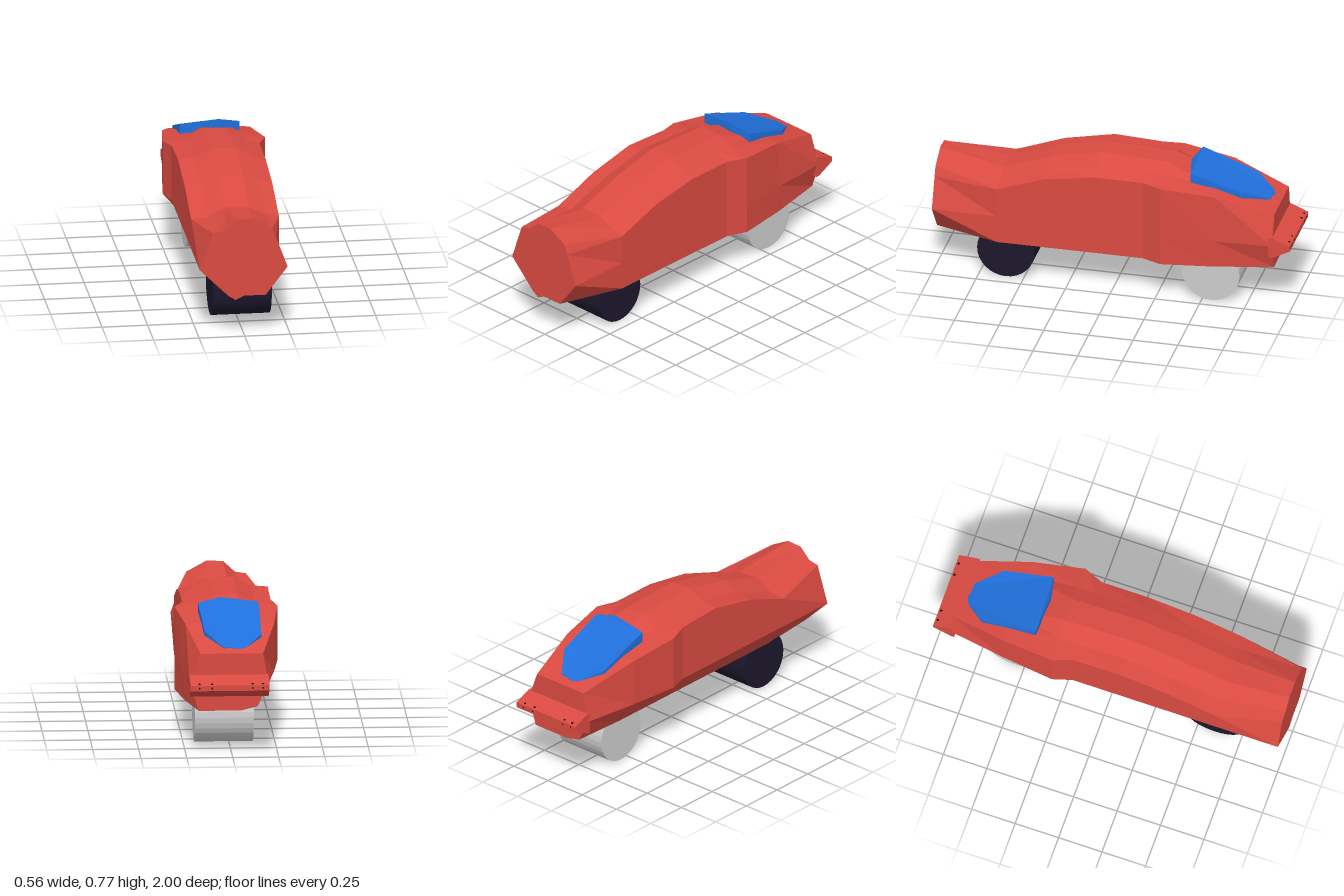
import * as THREE from 'three';

const paint = (color) => new THREE.MeshStandardMaterial({ color, flatShading: true });
const RED = paint(0xd94a41), BLUE = paint(0x2070dc), DARK = paint(0x1c172c),
  GREY = paint(0xcccccc), BLACK = paint(0x0a0a0a);

function add(group, name, geometry, material) {
  const mesh = new THREE.Mesh(geometry, material);
  mesh.name = name;
  group.add(mesh);
  return mesh;
}

// Joins cross-sections, each counterclockwise seen from +z, listed from front to back
function loft(sections) {
  const n = sections[0].points.length, last = sections.length - 1;
  const pos = sections.flatMap(s => s.points.flatMap(([x, y]) => [x, y, s.z]));
  const idx = [];
  for (let i = 0; i < last; i++) {
    for (let j = 0; j < n; j++) {
      const a = i * n + j, b = i * n + (j + 1) % n, c = a + n, d = b + n;
      idx.push(a, c, b, b, c, d);
    }
  }
  const cap = s => THREE.ShapeUtils.triangulateShape(s.points.map(p => new THREE.Vector2(...p)), []);
  for (const [a, b, c] of cap(sections[0])) idx.push(a, b, c);
  for (const [a, b, c] of cap(sections[last])) idx.push(last * n + a, last * n + c, last * n + b);
  const g = new THREE.BufferGeometry();
  g.setAttribute('position', new THREE.Float32BufferAttribute(pos, 3));
  g.setIndex(idx);
  const flat = g.toNonIndexed();
  flat.computeVertexNormals();
  return flat;
}

// Regular body section: side limits, shoulder heights and the roof's crown
function section(z, xl, xr, yl, yr, crown) {
  return { z, points: [
    [-0.05, 0.21], [0, 0.233], [xr, 0.233], [xr, 0.39], [xr, yr],
    [0.155, crown - 0.042], [0.07, crown - 0.007], [-0.06, crown], [-0.155, crown - 0.05],
    [xl, yl], [xl, 0.39], [-0.14, 0.25],
  ] };
}

export function createModel() {
  const car = new THREE.Group();
  car.name = 'car';

  // Faceted body, from the blunt nose to the tail
  add(car, 'body', loft([
    { z: 1, points: [
      [-0.05, 0.21], [-0.005, 0.233], [0.115, 0.233], [0.235, 0.39], [0.172, 0.56],
      [0.15, 0.613], [0.04, 0.673], [-0.05, 0.67], [-0.115, 0.61],
      [-0.175, 0.6], [-0.247, 0.39], [-0.09, 0.235],
    ] },
    section(0.64, -0.247, 0.235, 0.56, 0.555, 0.62),
    section(0.37, -0.247, 0.235, 0.66, 0.65, 0.715),
    section(0.09, -0.247, 0.235, 0.718, 0.695, 0.775),
    section(-0.18, -0.247, 0.235, 0.705, 0.695, 0.765),
    section(-0.29, -0.28, 0.28, 0.692, 0.692, 0.76),
    { z: -0.58, points: [
      [-0.05, 0.21], [0, 0.233], [0.24, 0.233], [0.245, 0.39], [0.235, 0.655],
      [0.155, 0.66], [0.07, 0.662], [-0.06, 0.662], [-0.155, 0.66],
      [-0.247, 0.655], [-0.247, 0.39], [-0.14, 0.25],
    ] },
    { z: -0.9, points: [
      [-0.05, 0.24], [0, 0.24], [0.18, 0.24], [0.23, 0.39], [0.17, 0.555],
      [0.14, 0.556], [0.06, 0.557], [-0.06, 0.557], [-0.14, 0.556],
      [-0.17, 0.555], [-0.2, 0.39], [-0.14, 0.262],
    ] },
  ]), RED);

  // Wedge-shaped bumper, its profile extruded across the tail
  const profile = new THREE.Shape([[0.88, 0.32], [0.9, 0.32], [1, 0.37], [1, 0.4], [0.9, 0.44], [0.88, 0.44]]
    .map(p => new THREE.Vector2(...p)));
  const bumper = new THREE.ExtrudeGeometry(profile, { depth: 0.43, bevelEnabled: false });
  bumper.rotateY(Math.PI / 2);
  bumper.translate(-0.2, 0, 0);
  add(car, 'rearBumper', bumper, RED);

  // Window slab: a flat outline draped over the sloping roof
  const outline = new THREE.Shape([
    [-0.17, 0.42], [0.04, 0.405], [0.16, 0.43], [0.14, 0.71], [0.04, 0.845],
    [0, 0.845], [-0.05, 0.858], [-0.09, 0.83], [-0.17, 0.73],
  ].map(p => new THREE.Vector2(...p)));
  const glass = new THREE.ExtrudeGeometry(outline, { depth: 0.06, bevelEnabled: false });
  const p = glass.attributes.position;
  for (let i = 0; i < p.count; i++) {
    const x = p.getX(i), back = p.getY(i), up = p.getZ(i);
    const roof = back < 0.7 ? 0.765 - (back - 0.41) * 0.345 : 0.665 - (back - 0.7) * 0.6;
    p.setXYZ(i, x, roof - 0.06 + up - Math.max(0, Math.abs(x) - 0.05) * 0.15, -back);
  }
  glass.computeVertexNormals();
  add(car, 'rearWindow', glass, BLUE);

  // One wide roller wheel on each axle
  for (const [name, x, y, z, material] of [
    ['frontWheel', 0.02, 0.16, 0.6, DARK],
    ['rearWheel', 0.03, 0.16, -0.55, GREY],
  ]) {
    const roller = new THREE.CylinderGeometry(0.16, 0.16, 0.32, 32);
    roller.rotateZ(Math.PI / 2);
    add(car, name, roller, material).position.set(x, y, z);
  }

  // Small tail lamps along the bumper edge
  for (const x of [-0.165, -0.108, 0.112, 0.18]) {
    const lamp = add(car, 'tailLamp', new THREE.SphereGeometry(0.024, 8, 6), BLACK);
    lamp.position.set(x, 0.385, -0.978);
    lamp.scale.x = 0.9;
  }
  return car;
}
